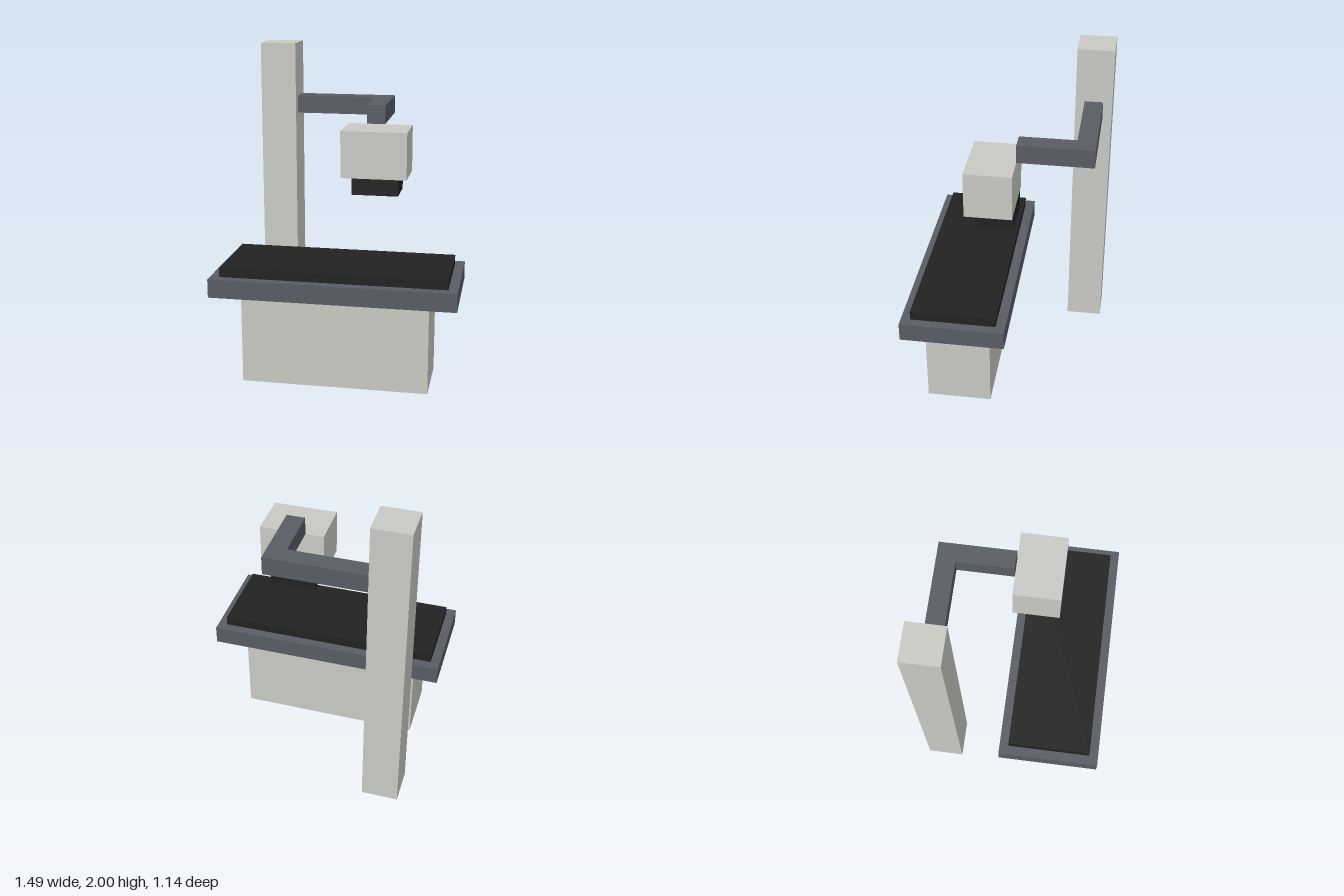
import * as THREE from 'three';

const U = 2 / 35; // the design sits on a grid 35 units tall

function material(name, color, side = THREE.FrontSide) {
  const m = new THREE.MeshStandardMaterial({ color, side });
  m.name = name;
  return m;
}

// Box between two grid corners; "open" lists faces to leave out (2 = top, 3 = bottom)
function box(name, min, max, mat, open = []) {
  const size = max.map((v, i) => (v - min[i]) * U);
  const geometry = new THREE.BoxGeometry(...size);
  const index = Array.from(geometry.index.array);
  geometry.setIndex(index.filter((_, i) => !open.includes(Math.floor(i / 6))));
  geometry.clearGroups();
  const mesh = new THREE.Mesh(geometry, mat);
  mesh.name = name;
  mesh.position.set(...max.map((v, i) => (v + min[i]) * U / 2));
  return mesh;
}

export function createModel() {
  const light = material('light grey', 0xc9c9c4, THREE.DoubleSide);
  const slate = material('slate grey', 0x595c64);
  const black = material('black', 0x222222);
  const group = new THREE.Group();
  group.name = 'examinationStation';

  // Hollow pedestal and column, open underneath
  group.add(
    box('pedestal', [-10, 0, 1], [10, 10, 8], light, [2, 3]),
    box('column', [-11, 0, -10], [-7, 35, -6], light, [3]),
  );

  // Table
  group.add(
    box('tableTop', [-13, 10, -1], [13, 12, 10], slate),
    box('tablePad', [-12, 12, 0], [12, 13, 9], black, [3]),
  );

  // L-shaped arm, drawn in plan (shape y = -z) and extruded upward
  const plan = [[-7, 9], [-7, 7], [2, 7], [2, 1], [4, 1], [4, 9]];
  const shape = new THREE.Shape(plan.map(([x, y]) => new THREE.Vector2(x * U, y * U)));
  const armGeometry = new THREE.ExtrudeGeometry(shape, { depth: 2 * U, bevelEnabled: false });
  armGeometry.rotateX(-Math.PI / 2);
  const arm = new THREE.Mesh(armGeometry, slate);
  arm.name = 'arm';
  arm.position.y = 27 * U;
  group.add(arm);

  // Overhead unit
  group.add(
    box('head', [0, 22, -1], [7, 27, 4], light),
    box('headAperture', [1, 20, -1], [6, 22, 3], black, [2]),
  );

  return group;
}
